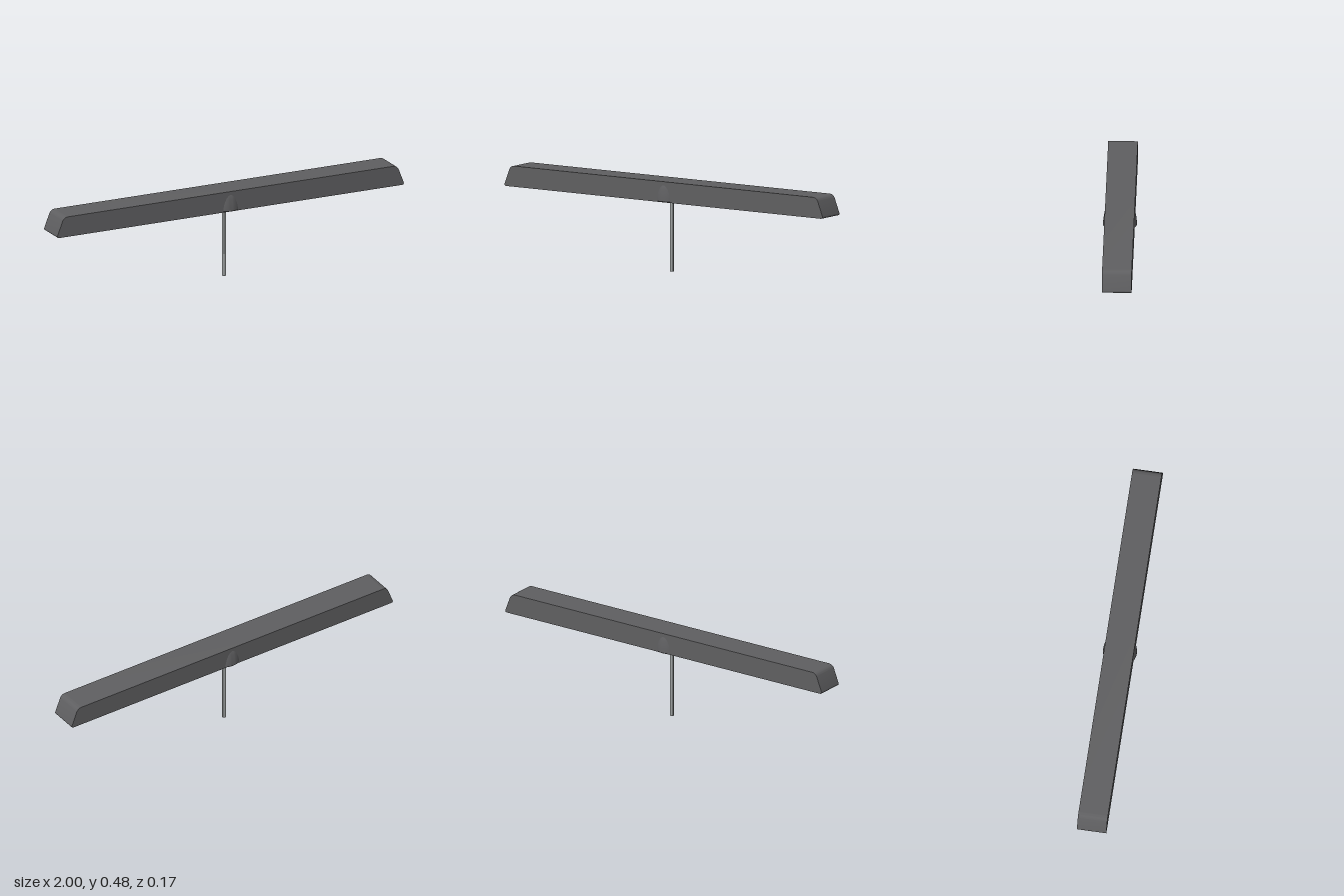
import * as THREE from 'three';
import { toCreasedNormals } from 'three/addons/utils/BufferGeometryUtils.js';

export function createModel() {
  const model = new THREE.Group();
  const darkGrey = new THREE.MeshStandardMaterial({ color: 0x5f5f61 });
  darkGrey.name = 'darkGrey';
  const steel = new THREE.MeshStandardMaterial({ color: 0xa2a6a6 });
  steel.name = 'steel';

  const add = (name, geometry, material) => {
    const mesh = new THREE.Mesh(geometry, material);
    mesh.name = name;
    model.add(mesh);
    return mesh;
  };

  // Long bar: tapered ends with softly rounded corners, extruded in depth
  const depth = 0.153;
  const outline = new THREE.Shape();
  outline.moveTo(-0.985, 0.369);
  outline.lineTo(0.985, 0.369);
  outline.quadraticCurveTo(1.003, 0.369, 0.997, 0.383);
  outline.lineTo(0.969, 0.455);
  outline.quadraticCurveTo(0.96, 0.477, 0.937, 0.477);
  outline.lineTo(-0.937, 0.477);
  outline.quadraticCurveTo(-0.96, 0.477, -0.969, 0.455);
  outline.lineTo(-0.997, 0.383);
  outline.quadraticCurveTo(-1.003, 0.369, -0.985, 0.369);
  const bar = new THREE.ExtrudeGeometry(outline, { depth, bevelEnabled: false, curveSegments: 10 });
  bar.translate(0, 0, -depth / 2);
  add('bar', toCreasedNormals(bar, 0.6), darkGrey);

  // Domed hub whose flanks bulge out of both long faces of the bar
  const hubProfile = [
    [0, 0.372], [0.086, 0.372], [0.0875, 0.374], [0.0865, 0.395],
    [0.0845, 0.413], [0.081, 0.435], [0.0765, 0.458], [0.07, 0.47], [0, 0.47],
  ].map(([r, y]) => new THREE.Vector2(r, y));
  add('hub', toCreasedNormals(new THREE.LatheGeometry(hubProfile, 64), 0.6), darkGrey);

  // Thin round post with a small chamfer at the foot
  const postProfile = [
    [0, 0], [0.0095, 0], [0.0115, 0.003], [0.0115, 0.4], [0, 0.4],
  ].map(([r, y]) => new THREE.Vector2(r, y));
  add('post', toCreasedNormals(new THREE.LatheGeometry(postProfile, 32), 0.6), steel);

  return model;
}
